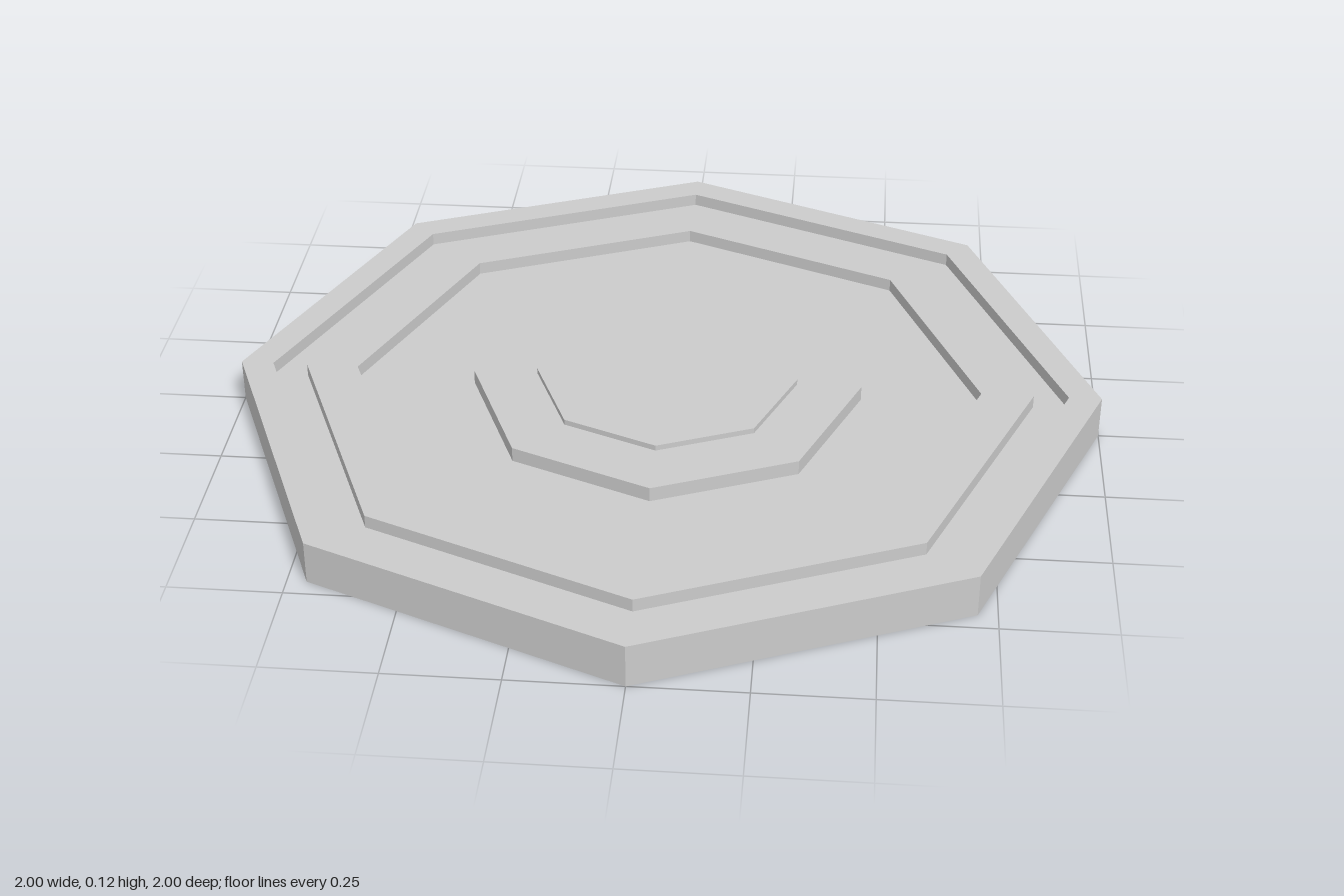
import * as THREE from 'three';

const SIDES = 8;
const FLOOR = 0.07;
const RIM = 0.1;

// Turns a [radius, height] profile, listed from outside inwards, into a faceted octagonal part
function octagonal(name, profile, material) {
  const points = profile.map(([r, y]) => new THREE.Vector2(r, y));
  const geometry = new THREE.LatheGeometry(points, SIDES).toNonIndexed();
  geometry.computeVertexNormals();
  const mesh = new THREE.Mesh(geometry, material);
  mesh.name = name;
  return mesh;
}

export function createModel() {
  const group = new THREE.Group();
  group.name = 'octagonalPlatform';
  const material = new THREE.MeshStandardMaterial({ color: 0xcccccc, flatShading: true });

  // Underside, outer wall, rim and the groove inside it
  group.add(octagonal('base', [
    [0, 0], [1, 0], [1, RIM], [0.925, RIM], [0.925, FLOOR], [0.845, FLOOR],
  ], material));

  // Raised ring level with the rim, and the sunken floor inside it
  group.add(octagonal('raisedRing', [
    [0.845, FLOOR], [0.845, RIM], [0.725, RIM], [0.725, FLOOR],
  ], material));
  group.add(octagonal('sunkenFloor', [[0.725, FLOOR], [0.45, FLOOR]], material));

  // Two stepped discs in the middle
  group.add(octagonal('lowerStep', [
    [0.45, FLOOR], [0.45, 0.104], [0.302, 0.104],
  ], material));
  group.add(octagonal('upperStep', [
    [0.302, 0.104], [0.302, 0.117], [0, 0.117],
  ], material));

  return group;
}
